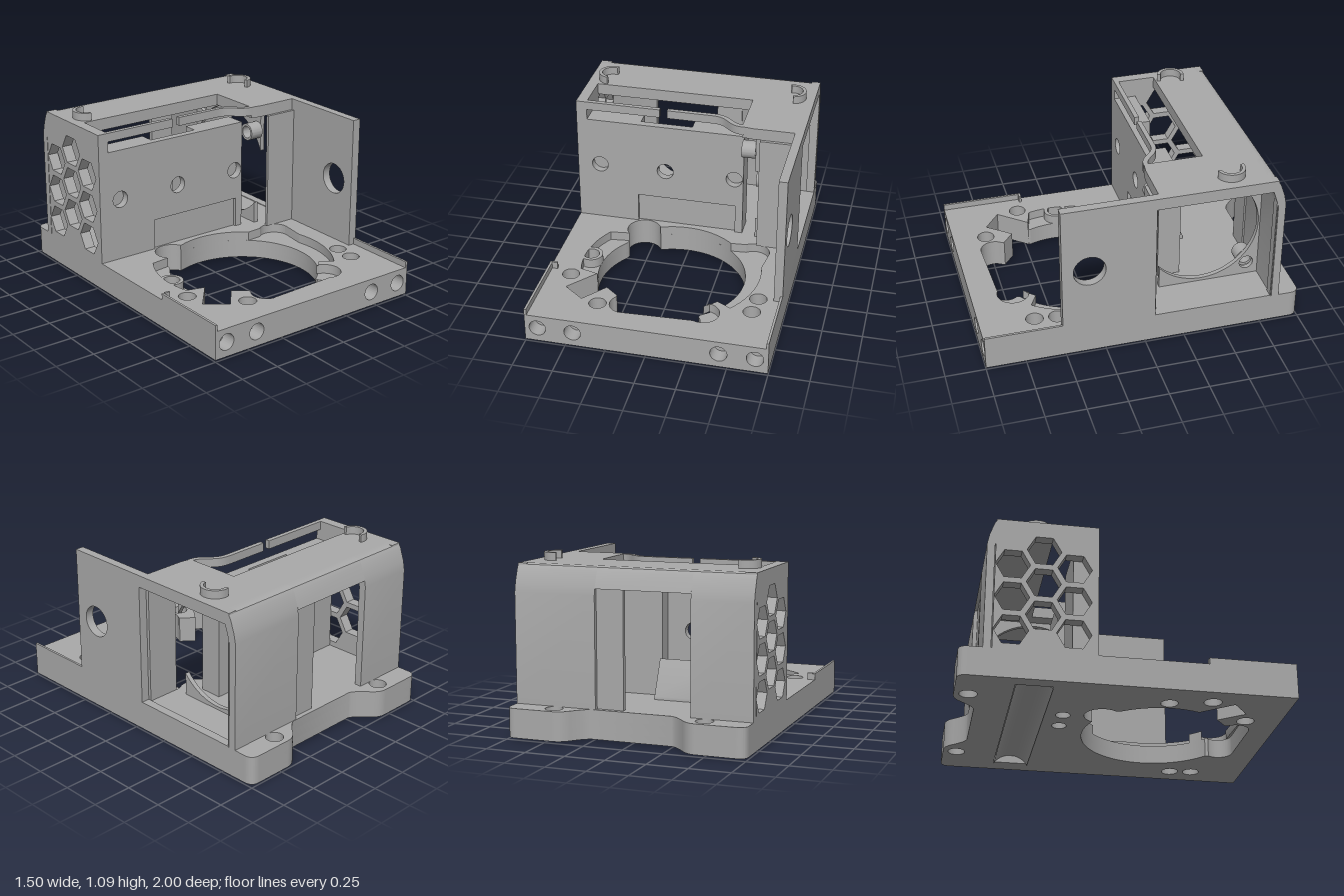
import * as THREE from 'three';
import { toCreasedNormals } from 'three/addons/utils/BufferGeometryUtils.js';

const grey = new THREE.MeshStandardMaterial({ color: 0xa9a9a9 });
grey.name = 'greyPlastic';
const greyOpen = new THREE.MeshStandardMaterial({ color: 0xa9a9a9, side: THREE.DoubleSide });
greyOpen.name = 'greyPlasticOpen';
const rad = THREE.MathUtils.degToRad;

export function createModel() {
  const model = new THREE.Group();
  const add = (name, geo, mat = grey) => {
    const m = new THREE.Mesh(geo, mat);
    m.name = name;
    model.add(m);
    return m;
  };
  const poly = (pts) => new THREE.Shape(pts.map(([a, b]) => new THREE.Vector2(a, b)));
  const rect = (a0, b0, a1, b1) => poly([[a0, b0], [a1, b0], [a1, b1], [a0, b1]]);
  const circle = (a, b, r) => new THREE.Path().absarc(a, b, r, 0, Math.PI * 2);
  const extrude = (shape, depth) =>
    toCreasedNormals(new THREE.ExtrudeGeometry(shape, { depth, bevelEnabled: false, curveSegments: 28 }), 0.5);
  // Shapes drawn in (x, z), (z, y) or (x, y), swept across the remaining axis
  const slabY = (name, s, y0, y1) => add(name, extrude(s, y1 - y0).rotateX(Math.PI / 2).translate(0, y1, 0));
  const slabX = (name, s, x0, x1) => add(name, extrude(s, x1 - x0).rotateY(-Math.PI / 2).translate(x1, 0, 0));
  const slabZ = (name, s, z0, z1) => add(name, extrude(s, z1 - z0).translate(0, 0, z0));
  const box = (name, x0, x1, y0, y1, z0, z1) => add(name,
    new THREE.BoxGeometry(x1 - x0, y1 - y0, z1 - z0).translate((x0 + x1) / 2, (y0 + y1) / 2, (z0 + z1) / 2));

  // Base outline with two rounded mounting tabs at the back
  const baseOutline = () => {
    const s = new THREE.Shape();
    s.moveTo(-0.75, 0.9);
    s.lineTo(0.75, 0.9);
    s.lineTo(0.75, -0.94);
    s.quadraticCurveTo(0.75, -1, 0.69, -1);
    s.lineTo(0.45, -1);
    s.quadraticCurveTo(0.4, -1, 0.36, -0.955);
    s.quadraticCurveTo(0.29, -0.87, 0.25, -0.865);
    s.lineTo(-0.25, -0.865);
    s.quadraticCurveTo(-0.29, -0.87, -0.36, -0.955);
    s.quadraticCurveTo(-0.4, -1, -0.45, -1);
    s.lineTo(-0.69, -1);
    s.quadraticCurveTo(-0.75, -1, -0.75, -0.94);
    return s;
  };
  // Large bore with its side notches; the upper layer is widened into ledges
  const bore = (wide) => {
    const p = new THREE.Path();
    const arc = (r, a, b) => p.absarc(0, 0.3, r, rad(a), rad(b), false);
    if (wide) {
      arc(0.47, -109, -48);
      p.absarc(0.48, 0.02, 0.1, rad(-130), rad(0), false);
      arc(0.57, -12, 38);
      arc(0.47, 40, 52);
      p.absarc(0.3, 0.735, 0.1, rad(-80), rad(115), false);
    } else {
      arc(0.47, -109, 55);
      p.absarc(0.2, 0.76, 0.085, rad(-40), rad(90), false);
    }
    p.lineTo(-0.2, 0.845);
    p.absarc(-0.19, 0.757, 0.09, rad(90), rad(220), false);
    [[-0.255, 0.68], [-0.34, 0.61], [-0.46, 0.76], [-0.59, 0.66], [-0.44, 0.48]].forEach(([x, z]) => p.lineTo(x, z));
    if (wide) arc(0.575, 165, 212); else arc(0.47, 159, 218);
    p.absarc(-0.28, -0.09, 0.11, rad(140), rad(335), false);
    p.closePath();
    return p;
  };
  const screwHoles = [[-0.475, -0.915], [0.475, -0.915], [-0.6, 0.52], [-0.35, 0.785], [0.6, 0.52], [0.585, 0.66]];
  const layer = (name, y0, y1, wide, groove) => {
    const s = baseOutline();
    s.holes.push(bore(wide));
    screwHoles.forEach(([x, z]) => s.holes.push(circle(x, z, 0.054)));
    [-0.25, -0.08].forEach((x) => s.holes.push(circle(x, -0.325, 0.045)));
    if (!wide) s.holes.push(circle(-0.54, 0.27, 0.052));
    if (groove) s.holes.push(rect(-0.66, -0.66, 0.62, -0.44));
    slabY(name, s, y0, y1);
  };
  layer('baseBottom', 0, 0.05, false, true);
  layer('baseMiddle', 0.05, 0.12, false, false);
  layer('baseTop', 0.12, 0.18, true, false);

  // Rounded groove under the base
  const grooveArc = rad(120);
  add('undersideGroove', new THREE.CylinderGeometry(0.127, 0.127, 1.28, 20, 1, true, -grooveArc / 2, grooveArc)
    .rotateZ(Math.PI / 2).rotateX(-Math.PI / 2).translate(-0.02, -0.075, -0.55), greyOpen);

  // Screw boss standing in the left ledge
  const ring = circle(-0.54, 0.27, 0.075);
  const boss = new THREE.Shape(ring.getPoints(28));
  boss.holes.push(circle(-0.54, 0.27, 0.052));
  slabY('ledgeBoss', boss, 0.12, 0.18);

  // Front bar with four blind holes, and the side rims
  const bar = rect(-0.75, 0, 0.75, 0.18);
  [-0.67, -0.45, 0.45, 0.67].forEach((x) => bar.holes.push(circle(x, 0.093, 0.052)));
  slabZ('frontBar', bar, 0.9, 1);
  box('rightRim', -0.75, -0.735, 0.18, 0.22, 0.47, 1);
  box('rimHook', -0.735, -0.7, 0.18, 0.225, 0.47, 0.485);
  box('leftRim', 0.735, 0.75, 0.18, 0.22, 0.52, 1);

  // Tall side wall with a round port and the square fan opening
  const tall = rect(-0.81, 0.18, 0.52, 1.03);
  tall.holes.push(circle(0.35, 0.595, 0.1), rect(-0.805, 0.185, -0.06, 0.955));
  slabX('leftWall', tall, 0.695, 0.75);

  // Honeycomb side wall
  const comb = rect(-0.81, 0.18, -0.19, 1.03);
  const cells = [];
  [[-0.52, [0.84, 0.625, 0.41]], [-0.705, [0.735, 0.52, 0.305]], [-0.335, [0.735, 0.52, 0.305]]]
    .forEach(([z, ys]) => ys.forEach((y) => cells.push([z, y])));
  cells.forEach(([z, y]) => {
    const hex = [];
    for (let i = 0; i < 6; i++) hex.push(new THREE.Vector2(z + 0.104 * Math.cos(i * Math.PI / 3), y + 0.104 * Math.sin(i * Math.PI / 3)));
    comb.holes.push(new THREE.Path(hex));
  });
  slabX('honeycombWall', comb, -0.75, -0.68);

  // Back wall with a sloped upper edge, split around the window
  const back = (name, x0, x1, yBottom) => slabX(name, poly([
    [-0.862, yBottom], [-0.862, 0.86], [-0.85, 0.92], [-0.822, 1.0], [-0.808, 1.022], [-0.785, 1.03],
    [-0.74, 1.03], [-0.78, 0.955], [-0.815, 0.85], [-0.815, yBottom]]), x0, x1);
  back('backWallRight', -0.75, -0.37, 0.18);
  back('backWallLeft', 0.23, 0.75, 0.18);
  const lintel = poly([[-0.857, 0.9], [-0.85, 0.92], [-0.822, 1.0], [-0.808, 1.022], [-0.785, 1.03],
    [-0.74, 1.03], [-0.78, 0.955], [-0.8, 0.9]]);
  slabX('backLintel', lintel, -0.37, 0.23);
  box('windowRecessPanel', 0.06, 0.23, 0.18, 0.9, -0.835, -0.805);

  // Roof with a long slot, and the curved lip in front of it
  slabY('roof', poly([[-0.75, -0.785], [0.75, -0.785], [0.695, -0.08], [0.43, -0.08], [0.36, -0.09],
    [0.36, -0.46], [-0.68, -0.46], [-0.68, -0.19], [-0.75, -0.19]]), 0.955, 1.03);
  box('lipRight', -0.68, -0.195, 0.975, 1.03, -0.22, -0.19);
  const lip = new THREE.Shape();
  lip.moveTo(-0.145, -0.19);
  lip.lineTo(0.15, -0.19);
  lip.bezierCurveTo(0.27, -0.19, 0.25, -0.09, 0.37, -0.085);
  lip.lineTo(0.37, -0.115);
  lip.bezierCurveTo(0.28, -0.12, 0.28, -0.22, 0.15, -0.22);
  lip.lineTo(-0.145, -0.22);
  slabY('lipLeft', lip, 0.975, 1.03);

  // C-shaped clips on the roof
  [1, -1].forEach((side) => {
    const c = new THREE.Shape();
    c.absarc(0, 0, 0.088, rad(-105), rad(80), false);
    c.absarc(0, 0, 0.066, rad(80), rad(-105), true);
    const g = extrude(c, 0.05).rotateX(Math.PI / 2);
    if (side < 0) g.rotateY(Math.PI).scale(1, 1, 1);
    const clip = add(side > 0 ? 'leftClip' : 'rightClip', g);
    clip.position.set(side * 0.605, 1.08, -0.555);
    if (side < 0) clip.rotation.y = rad(-25);
  });

  // Front wall in three layers: shallow recess, core, rear with a cable channel
  const wallHoles = (s, xs) => { xs.forEach((x) => s.holes.push(circle(x, 0.58, 0.054))); return s; };
  slabZ('frontWallFace', wallHoles(poly([[-0.68, 0.18], [-0.345, 0.18], [-0.345, 0.38], [0.31, 0.38], [0.31, 0.18],
    [0.36, 0.18], [0.36, 0.905], [-0.68, 0.905]]), [-0.6, -0.16, 0.325 - 0.025]), -0.21, -0.19);
  slabZ('frontWallCore', wallHoles(rect(-0.68, 0.18, 0.36, 0.905), [-0.6, -0.16, 0.3]), -0.24, -0.21);
  box('frontWallRearRight', -0.68, -0.33, 0.18, 0.905, -0.335, -0.24);
  box('frontWallRearLeft', 0.01, 0.36, 0.18, 0.905, -0.335, -0.24);
  slabX('cableWedge', poly([[-0.375, 0.18], [-0.375, 0.42], [-0.47, 0.2], [-0.47, 0.18]]), -0.33, 0.01);

  // Fan mount: plate open at the front, spacers and front panel
  const plate = new THREE.Shape();
  plate.moveTo(-0.815, 0.18);
  plate.lineTo(-0.165, 0.18);
  plate.absarc(-0.44, 0.565, 0.365, rad(-41), rad(23.5), true);
  plate.lineTo(-0.105, 0.955);
  plate.lineTo(-0.815, 0.955);
  plate.holes.push(circle(-0.14, 0.865, 0.033), circle(-0.74, 0.265, 0.045), circle(-0.74, 0.865, 0.035));
  slabX('fanPlate', plate, 0.45, 0.48);
  [[-0.14, 0.848], [-0.74, 0.28]].forEach(([z, y]) => {
    const s = new THREE.Shape(circle(z, y, 0.056).getPoints(28));
    s.holes.push(circle(z, y, 0.04));
    slabX('fanSpacer', s, 0.36, 0.45);
  });
  box('fanFrontPanel', 0.48, 0.695, 0.18, 0.955, -0.08, -0.06);

  return model;
}
